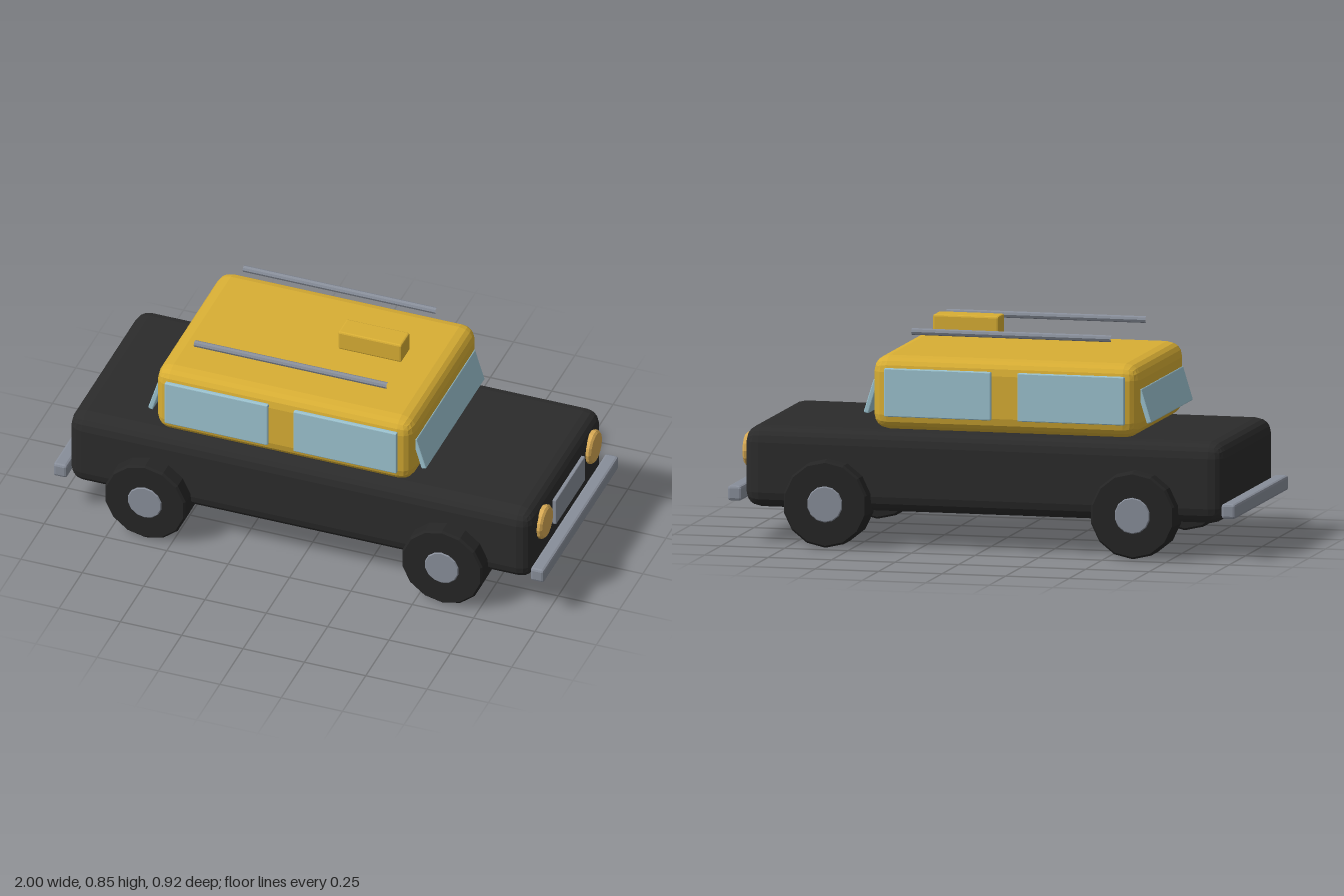
import * as THREE from 'three';
import { RoundedBoxGeometry } from 'three/addons/geometries/RoundedBoxGeometry.js';

export function createModel() {
  const car = new THREE.Group();
  car.name = 'car';

  const material = (name, color) => {
    const m = new THREE.MeshStandardMaterial({ color, flatShading: true });
    m.name = name;
    return m;
  };
  const black = material('black paint', 0x2b2b2b);
  const rubber = material('rubber', 0x252525);
  const yellow = material('yellow paint', 0xd8ae34);
  const glass = material('window glass', 0x9cc3d0);
  const metal = material('grey metal', 0x888e9a);
  const lamp = material('amber lamp', 0xd8aa54);

  const add = (name, geometry, mat, x, y, z) => {
    const mesh = new THREE.Mesh(geometry, mat);
    mesh.name = name;
    mesh.position.set(x, y, z);
    car.add(mesh);
    return mesh;
  };
  const block = (w, h, d, r, segments = 1) => new RoundedBoxGeometry(w, h, d, segments, r);

  // Disc with bevelled rims, 14 sides, axis along y
  const disc = (r, depth, bevel) => {
    const h = depth / 2;
    return new THREE.LatheGeometry([
      new THREE.Vector2(0, -h), new THREE.Vector2(r - bevel, -h),
      new THREE.Vector2(r, bevel - h), new THREE.Vector2(r, h - bevel),
      new THREE.Vector2(r - bevel, h), new THREE.Vector2(0, h),
    ], 14);
  };

  // Body and cabin
  add('body', block(1.89, 0.313, 0.785, 0.06, 2), black, -0.003, 0.293, 0);
  add('cabin', block(1.05, 0.284, 0.735, 0.06, 2), yellow, -0.08, 0.592, 0);

  // Sloping windscreens, mirrored about the cabin centre
  for (const s of [-1, 1]) {
    const screen = add(s > 0 ? 'windscreen' : 'rearWindow',
      block(0.02, 0.135, 0.632, 0.004), glass, -0.08 + s * 0.538, 0.572, 0);
    screen.rotation.z = s * 0.3;
  }

  // Side windows and roof rails
  for (const s of [-1, 1]) {
    const side = s > 0 ? 'left' : 'right';
    add(side + 'RearSideWindow', block(0.42, 0.186, 0.018, 0.004), glass, -0.345, 0.598, s * 0.372);
    add(side + 'FrontSideWindow', block(0.42, 0.186, 0.018, 0.004), glass, 0.18, 0.598, s * 0.372);
    const rail = new THREE.CylinderGeometry(0.013, 0.013, 0.785, 8, 1, true).rotateZ(Math.PI / 2);
    add(side + 'RoofRail', rail, metal, -0.083, 0.82, s * 0.263);
  }

  // Roof sign
  add('roofSign', block(0.258, 0.08, 0.094, 0.007), yellow, 0.155, 0.816, 0);

  // Bumpers
  for (const s of [-1, 1]) {
    add(s > 0 ? 'frontBumper' : 'rearBumper',
      block(0.056, 0.057, 0.812, 0.01), metal, s * 0.972, 0.192, 0);
  }

  // Grille and headlights on the nose
  add('grille', block(0.03, 0.112, 0.314, 0.004), metal, 0.942, 0.318, 0);
  for (const s of [-1, 1]) {
    add('headlight', disc(0.067, 0.04, 0.008).rotateZ(-Math.PI / 2), lamp, 0.942, 0.345, s * 0.263);
  }

  // Wheels, with hubs running right through the tyres
  for (const x of [-0.607, 0.603]) {
    for (const s of [-1, 1]) {
      add('tyre', disc(0.168, 0.117, 0.008).rotateX(Math.PI / 2), rubber, x, 0.17, s * 0.396);
      add('hub', disc(0.07, 0.126, 0.004).rotateX(Math.PI / 2), metal, x, 0.17, s * 0.396);
    }
  }

  return car;
}
